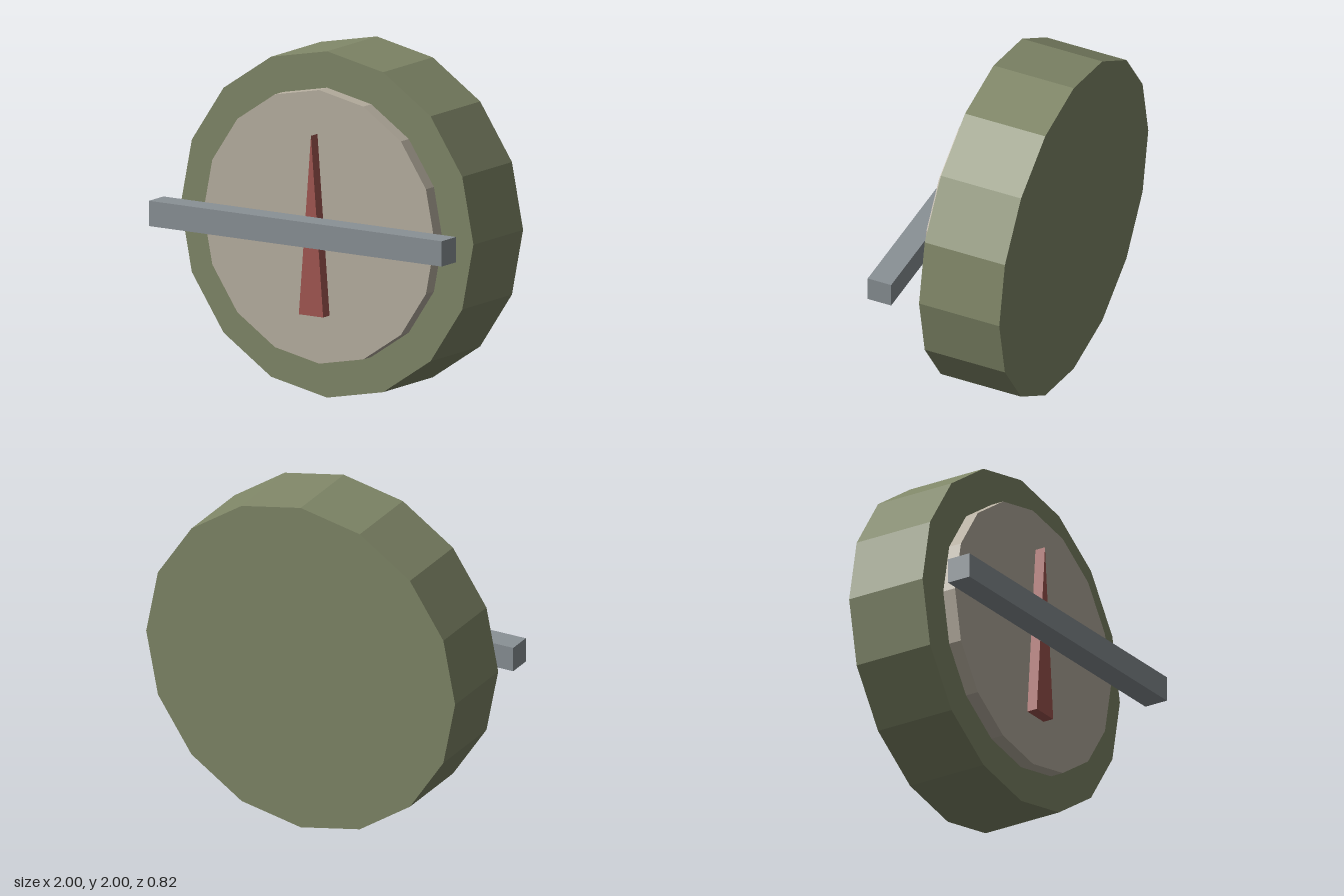
import * as THREE from 'three';

const paint = (name, color) => {
  const m = new THREE.MeshStandardMaterial({ color });
  m.name = name;
  return m;
};

export function createModel() {
  const group = new THREE.Group();
  group.name = 'gauge';

  const green = paint('olive green', 0x808768);
  const cream = paint('warm cream', 0xb8b0a1);
  const red = paint('dull red', 0xa25751);
  const steel = paint('steel grey', 0x8a9196);

  const add = (name, geometry, material, y, z) => {
    const mesh = new THREE.Mesh(geometry.toNonIndexed(), material);
    mesh.geometry.computeVertexNormals(); // faceted look
    mesh.name = name;
    mesh.position.set(0, y, z);
    group.add(mesh);
  };

  // Sixteen-sided disc facing +z, with a corner at the top
  const disc = (radius, depth) =>
    new THREE.CylinderGeometry(radius, radius, depth, 16).rotateX(Math.PI / 2);

  add('case', disc(1, 0.5), green, 1, -0.16);
  add('dialFace', disc(0.79, 0.08), cream, 1, 0.13);

  // Tapered needle floating in front of the dial
  const outline = new THREE.Shape([
    new THREE.Vector2(-0.083, 0.5),
    new THREE.Vector2(0.083, 0.5),
    new THREE.Vector2(0, 1.54),
  ]);
  const needle = new THREE.ExtrudeGeometry(outline, { depth: 0.065, bevelEnabled: false });
  add('needle', needle, red, 0, 0.187);

  // Guard bar across the front
  add('guardBar', new THREE.BoxGeometry(2, 0.146, 0.146), steel, 1.002, 0.337);

  return group;
}
